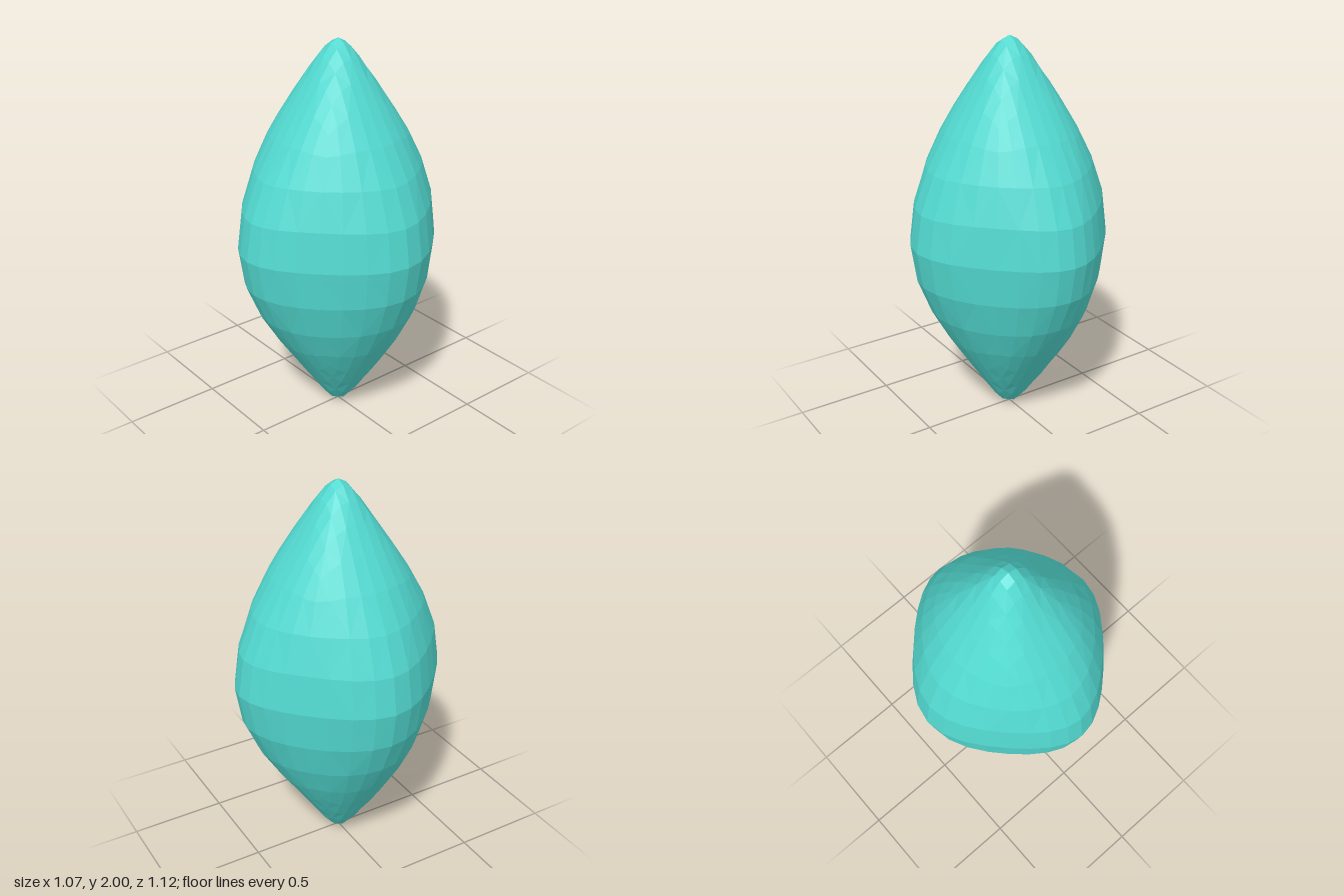
import * as THREE from 'three';

// Cage distances along each axis, indexed by whether the point is also off the other two axes:
// [0][0] tip, [0][1] and [1][0] edge middles, [1][1] corner
const X = [[0.887, 0.37], [0.164, 0.197]]; // [y][z]
const Y = [[1.311, 0.723], [0.723, 0.864]]; // [x][z]
const Z = [[0.886, 0.5], [0.15, 0.195]]; // [y][x]

// Six-pointed cage: a cube with 2 x 2 quads per side and the side centres drawn out
function makeCage() {
  const verts = [], quads = [], lookup = new Map();
  const point = (s) => {
    const key = s.join();
    if (!lookup.has(key)) {
      const [x, y, z] = s.map(Math.abs);
      lookup.set(key, verts.length);
      verts.push(new THREE.Vector3(s[0] * X[y][z], s[1] * Y[x][z], s[2] * Z[y][x]));
    }
    return lookup.get(key);
  };
  for (let axis = 0; axis < 3; axis++) {
    for (const side of [-1, 1]) {
      const at = (u, v) => {
        const s = [0, 0, 0];
        s[axis] = side;
        s[(axis + 1) % 3] = u;
        s[(axis + 2) % 3] = v;
        return point(s);
      };
      for (const u of [-1, 0]) {
        for (const v of [-1, 0]) {
          const quad = [at(u, v), at(u + 1, v), at(u + 1, v + 1), at(u, v + 1)];
          quads.push(side > 0 ? quad : quad.reverse());
        }
      }
    }
  }
  return { verts, quads };
}

// Sums of the neighbours, opposite corners and quad centres around every vertex
function gather({ verts, quads }) {
  const around = verts.map(() => ({
    n: 0, edges: new THREE.Vector3(), diagonals: new THREE.Vector3(), centres: new THREE.Vector3(),
  }));
  const centres = quads.map((q) => {
    const centre = new THREE.Vector3();
    q.forEach((i) => centre.addScaledVector(verts[i], 0.25));
    q.forEach((i, k) => {
      const a = around[i];
      a.n++;
      a.edges.add(verts[q[(k + 1) % 4]]);
      a.diagonals.add(verts[q[(k + 2) % 4]]);
      a.centres.add(centre);
    });
    return centre;
  });
  return { around, centres };
}

// One smooth subdivision step: every quad becomes four
function subdivide(mesh) {
  const { around, centres } = gather(mesh);
  const verts = mesh.verts.map((v, i) => {
    const { n, edges, centres: c } = around[i];
    return v.clone().multiplyScalar((n - 2) / n)
      .addScaledVector(edges, 1 / (n * n)).addScaledVector(c, 1 / (n * n));
  });
  const edgePoints = new Map();
  const edgePoint = (a, b, centre) => {
    const key = a < b ? `${a},${b}` : `${b},${a}`;
    if (!edgePoints.has(key)) {
      edgePoints.set(key, verts.length);
      verts.push(mesh.verts[a].clone().add(mesh.verts[b]).multiplyScalar(0.25));
    }
    const index = edgePoints.get(key);
    verts[index].addScaledVector(centre, 0.25);
    return index;
  };
  const quads = [];
  mesh.quads.forEach((q, f) => {
    const mids = q.map((a, k) => edgePoint(a, q[(k + 1) % 4], centres[f]));
    const middle = verts.push(centres[f]) - 1;
    q.forEach((a, k) => quads.push([a, mids[k], middle, mids[(k + 3) % 4]]));
  });
  return { verts, quads };
}

// Move every vertex onto the final smooth surface
function settle(mesh) {
  const { around } = gather(mesh);
  const verts = mesh.verts.map((v, i) => {
    const { n, edges, diagonals } = around[i];
    return v.clone().multiplyScalar(n * n).addScaledVector(edges, 4).add(diagonals)
      .divideScalar(n * (n + 5));
  });
  return { verts, quads: mesh.quads };
}

function spindleGeometry() {
  const { verts, quads } = settle(subdivide(subdivide(makeCage())));
  const geometry = new THREE.BufferGeometry().setFromPoints(verts);
  geometry.setIndex(quads.flatMap(([a, b, c, d]) => [a, b, c, a, c, d]));
  geometry.translate(0, 1, 0);
  geometry.computeVertexNormals();
  return geometry;
}

export function createModel() {
  const group = new THREE.Group();
  group.name = 'spindle';
  const material = new THREE.MeshStandardMaterial({ color: 0x52d9d0, flatShading: true });
  const body = new THREE.Mesh(spindleGeometry(), material);
  body.name = 'body';
  group.add(body);
  return group;
}
